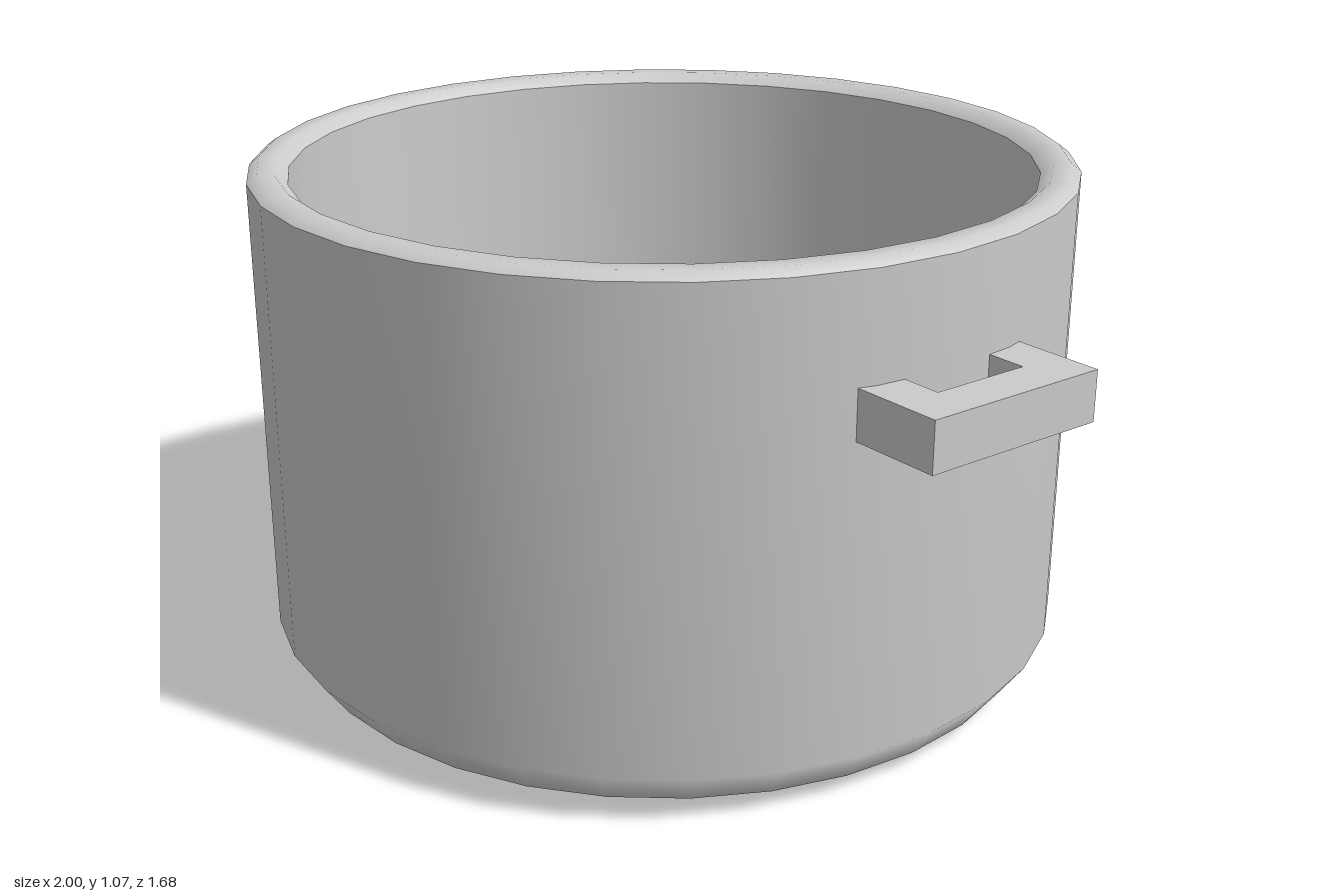
import * as THREE from 'three';

const SEGMENTS = 32;
const material = new THREE.MeshStandardMaterial({ color: 0xcccccc });

// Smooth surface of revolution; separate bands meet at sharp edges
function band(name, profile) {
  const points = profile.map(([r, y]) => new THREE.Vector2(r, y));
  const mesh = new THREE.Mesh(new THREE.LatheGeometry(points, SEGMENTS), material);
  mesh.name = name;
  return mesh;
}

// U-shaped bracket lying flat, its two arms sunk into the pot wall
function handle(name, turn) {
  const outline = [
    [0.78, -0.2], [1, -0.2], [1, 0.2], [0.78, 0.2],
    [0.78, 0.105], [0.91, 0.105], [0.91, -0.105], [0.78, -0.105],
  ];
  const shape = new THREE.Shape(outline.map(([x, z]) => new THREE.Vector2(x, z)));
  const geometry = new THREE.ExtrudeGeometry(shape, { depth: 0.1, bevelEnabled: false });
  geometry.rotateX(Math.PI / 2).translate(0, 0.842, 0);
  const mesh = new THREE.Mesh(geometry, material);
  mesh.name = name;
  mesh.rotation.y = turn;
  return mesh;
}

export function createModel() {
  const model = new THREE.Group();
  model.name = 'cookingPot';

  // Pot body, from the underside up over the rim and down to the inner floor
  const body = new THREE.Group();
  body.name = 'body';
  body.add(
    band('underside', [[0, 0], [0.68, 0], [0.79, 0.035]]),
    band('outerWall', [[0.79, 0.035], [0.84, 0.105], [0.84, 1.055]]),
    band('rim', [[0.84, 1.055], [0.82, 1.07], [0.785, 1.07], [0.76, 1.05]]),
    band('innerWall', [[0.76, 1.05], [0.755, 0.08]]),
    band('innerFloor', [[0.755, 0.08], [0, 0.08]]),
  );
  model.add(body);

  // Side handles
  model.add(handle('leftHandle', 0), handle('rightHandle', Math.PI));
  return model;
}
